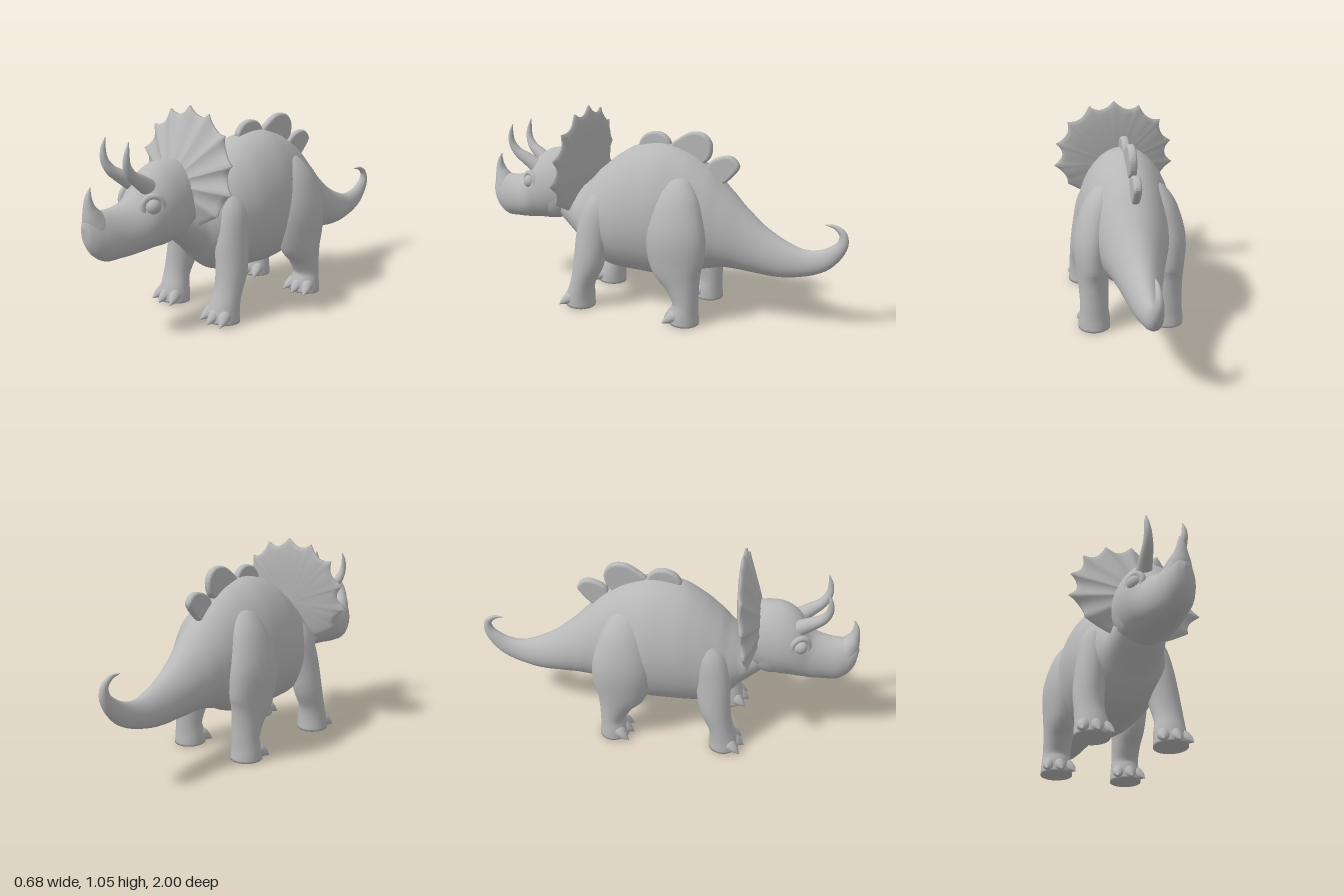
import * as THREE from 'three';

const hide = new THREE.MeshStandardMaterial({ color: 0xb8b8b8 });
hide.name = 'grey hide';
const V = (x, y, z) => new THREE.Vector3(x, y, z);

function part(name, geometry) {
  const mesh = new THREE.Mesh(geometry, hide);
  mesh.name = name;
  return mesh;
}

// Skin a list of closed rings, all with the same number of points
function skin(rings) {
  const n = rings[0].length, pos = [], idx = [];
  for (const ring of rings) for (const p of ring) pos.push(p.x, p.y, p.z);
  for (let i = 0; i < rings.length - 1; i++) {
    for (let j = 0; j < n; j++) {
      const a = i * n + j, b = i * n + (j + 1) % n;
      idx.push(a, b, a + n, b, b + n, a + n);
    }
  }
  const g = new THREE.BufferGeometry();
  g.setAttribute('position', new THREE.Float32BufferAttribute(pos, 3));
  g.setIndex(idx);
  g.computeVertexNormals();
  return g;
}

// Smooth limb through sections [x, y, z, half width, half depth].
// pear narrows the upper side; lean(z) = 0 keeps sections upright, 1 lets them follow the path
function loft(sections, { sides = 24, steps = 4, pear = 0, lean = () => 1 } = {}) {
  const path = new THREE.CatmullRomCurve3(sections.map(s => V(s[0], s[1], s[2])));
  const size = new THREE.CatmullRomCurve3(sections.map(s => V(s[3], s[4], 0)), false, 'catmullrom', 0.4);
  const rings = [], count = (sections.length - 1) * steps;
  for (let i = 0; i <= count; i++) {
    const c = path.getPoint(i / count), r = size.getPoint(i / count);
    const t = path.getTangent(i / count);
    t.y *= lean(c.z);
    t.normalize();
    const side = V(1, 0, 0).addScaledVector(t, -t.x).normalize();
    const up = t.clone().cross(side);
    const ring = [];
    for (let j = 0; j < sides; j++) {
      const a = j / sides * Math.PI * 2, s = Math.sin(a);
      ring.push(c.clone()
        .addScaledVector(side, Math.max(r.x, 0.001) * Math.cos(a) * (1 - pear * s))
        .addScaledVector(up, Math.max(r.y, 0.001) * s));
    }
    if (i === 0) rings.push(ring.map(() => c.clone()));
    rings.push(ring);
    if (i === count) rings.push(ring.map(() => c.clone()));
  }
  return skin(rings);
}

// Central parts lie on x = 0: [z, y, half width, half height]
const central = rows => rows.map(([z, y, w, h]) => [0, y, z, w, h]);

// Scalloped neck shield, domed towards the head
function frillGeometry() {
  const half = [[0, 1.04], [0.14, 1.012], [0.26, 0.927], [0.326, 0.8], [0.338, 0.67], [0.262, 0.558]];
  const halfValleys = [[0.07, 0.993], [0.19, 0.943], [0.265, 0.855], [0.291, 0.737], [0.28, 0.62], [0.17, 0.51]];
  const mirror = list => list.map(([x, y]) => [-x, y]).reverse();
  const tips = [...half, [0, 0.43], ...mirror(half.slice(1))];
  const valleys = [...halfValleys, ...mirror(halfValleys)];
  const outline = [], steps = 8;
  tips.forEach((a, i) => {
    const b = tips[(i + 1) % tips.length], v = valleys[i];
    const control = k => 2 * v[k] - (a[k] + b[k]) / 2;
    const curve = new THREE.QuadraticBezierCurve(
      new THREE.Vector2(...a), new THREE.Vector2(control(0), control(1)), new THREE.Vector2(...b));
    for (let s = 0; s < steps; s++) {
      const p = curve.getPoint(s / steps);
      outline.push([p.x, p.y, 0.005 * Math.cos(s / steps * Math.PI * 2)]);
    }
  });
  const rows = [[0, 0.085], [0.25, 0.08], [0.5, 0.058], [0.75, 0.032], [0.92, 0.013], [1, 0.005],
    [1, -0.005], [0.92, -0.014], [0.75, -0.024], [0.5, -0.032], [0.25, -0.036], [0, -0.038]];
  return skin(rows.map(([t, dz]) => outline.map(([x, y, ridge]) => {
    const py = 0.68 + (y - 0.68) * t;
    return V(x * t, py, 0.445 - 0.135 * (py - 0.57) + dz + ridge * t ** 4);
  })));
}

// Rounded plate outlined in [z, y], standing along the spine
function plateGeometry(points) {
  const curve = new THREE.CatmullRomCurve3(points.map(([z, y]) => V(-z, y, 0)), true);
  const shape = new THREE.Shape(curve.getPoints(32).slice(0, -1).map(p => new THREE.Vector2(p.x, p.y)));
  const g = new THREE.ExtrudeGeometry(shape, {
    depth: 0.012, bevelEnabled: true, bevelSize: 0.014, bevelOffset: -0.014, bevelThickness: 0.014, bevelSegments: 4,
  });
  return g.translate(0, 0, -0.006).rotateY(Math.PI / 2);
}

// Leg sections are [x, y, z, half width, half depth] for the left side
const frontLeg = [[0.09, 0.65, 0.22, 0.004, 0.004], [0.115, 0.61, 0.232, 0.05, 0.055], [0.148, 0.52, 0.258, 0.076, 0.088],
  [0.172, 0.4, 0.284, 0.076, 0.09], [0.192, 0.25, 0.303, 0.075, 0.083], [0.198, 0.14, 0.336, 0.073, 0.064],
  [0.192, 0.05, 0.356, 0.082, 0.075], [0.192, 0, 0.36, 0.084, 0.08]];
const hindLeg = [[0.09, 0.76, -0.16, 0.004, 0.004], [0.115, 0.7, -0.168, 0.062, 0.08], [0.156, 0.6, -0.178, 0.088, 0.127],
  [0.19, 0.45, -0.185, 0.094, 0.157], [0.192, 0.3, -0.198, 0.083, 0.143], [0.19, 0.2, -0.226, 0.075, 0.092],
  [0.19, 0.11, -0.245, 0.072, 0.066], [0.19, 0.045, -0.238, 0.08, 0.075], [0.19, 0, -0.236, 0.082, 0.08]];

function leg(name, sections, side) {
  const group = new THREE.Group();
  group.name = name;
  const flip = s => [s[0] * side, ...s.slice(1)];
  group.add(part(name + 'Limb', loft(sections.map(flip))));
  // Three pointed toes, the outer ones splayed
  const [fx, , fz] = sections[sections.length - 1];
  for (const k of [-1, 0, 1]) {
    const x = fx + k * 0.05, z = fz - Math.abs(k) * 0.016;
    group.add(part(name + 'Toe', loft([
      [x - k * 0.01, 0.06, z + 0.01, 0.026, 0.03], [x, 0.043, z + 0.05, 0.032, 0.034],
      [x + k * 0.012, 0.026, z + 0.077, 0.025, 0.022], [x + k * 0.024, 0.006, z + 0.105, 0.003, 0.003],
    ].map(flip), { sides: 12 })));
  }
  return group;
}

export function createModel() {
  const model = new THREE.Group();
  model.name = 'hornedDinosaur';

  // Body from curled tail tip to neck; only the tail sections follow the curl
  model.add(part('bodyAndTail', loft(central([
    [-0.885, 0.545, 0.002, 0.002], [-0.935, 0.538, 0.01, 0.011], [-0.972, 0.505, 0.016, 0.019],
    [-0.972, 0.455, 0.023, 0.028], [-0.937, 0.405, 0.03, 0.041], [-0.88, 0.362, 0.037, 0.055],
    [-0.8, 0.338, 0.047, 0.068], [-0.7, 0.34, 0.068, 0.092], [-0.6, 0.37, 0.09, 0.12], [-0.5, 0.415, 0.117, 0.157],
    [-0.4, 0.467, 0.15, 0.205], [-0.3, 0.506, 0.182, 0.265], [-0.18, 0.52, 0.215, 0.325], [-0.05, 0.528, 0.24, 0.352],
    [0.1, 0.518, 0.24, 0.338], [0.2, 0.493, 0.226, 0.308], [0.3, 0.465, 0.205, 0.255], [0.36, 0.457, 0.18, 0.2],
    [0.42, 0.468, 0.148, 0.143], [0.5, 0.51, 0.125, 0.115], [0.56, 0.54, 0.1, 0.09],
  ]), { sides: 36, pear: 0.08, lean: z => 1 - THREE.MathUtils.smoothstep(z, -0.8, -0.6) })));

  // Head
  model.add(part('head', loft(central([
    [0.42, 0.61, 0.12, 0.15], [0.5, 0.612, 0.146, 0.187], [0.6, 0.602, 0.153, 0.198], [0.68, 0.578, 0.142, 0.178],
    [0.76, 0.523, 0.115, 0.132], [0.84, 0.507, 0.094, 0.12], [0.9, 0.505, 0.083, 0.118],
    [0.95, 0.518, 0.066, 0.1], [0.985, 0.54, 0.04, 0.066], [0.998, 0.56, 0.003, 0.005],
  ]), { sides: 32, pear: 0.1, lean: () => 0 })));
  model.add(part('noseHorn', loft(central([
    [0.895, 0.47, 0.07, 0.07], [0.925, 0.55, 0.066, 0.067], [0.95, 0.605, 0.047, 0.046], [0.963, 0.65, 0.029, 0.026],
    [0.964, 0.695, 0.016, 0.014], [0.952, 0.735, 0.002, 0.002],
  ]))));
  model.add(part('neckFrill', frillGeometry()));

  for (const [label, side] of [['left', 1], ['right', -1]]) {
    model.add(part(label + 'BrowHorn', loft([
      [0.055, 0.69, 0.67, 0.04, 0.044], [0.067, 0.735, 0.735, 0.033, 0.035], [0.078, 0.775, 0.79, 0.025, 0.026],
      [0.087, 0.825, 0.818, 0.018, 0.019], [0.092, 0.88, 0.818, 0.012, 0.012], [0.09, 0.927, 0.805, 0.002, 0.002],
    ].map(s => [s[0] * side, ...s.slice(1)]), { sides: 16 })));

    // Eye with a raised lid around it
    const eye = new THREE.Group();
    eye.name = label + 'Eye';
    eye.add(part('eyeball', new THREE.SphereGeometry(0.038, 20, 14)));
    eye.add(part('eyelid', new THREE.TorusGeometry(0.046, 0.016, 10, 28)));
    eye.position.set(side * 0.106, 0.623, 0.698);
    eye.rotation.y = side * 1.1;
    model.add(eye);

    // Cheek ridge at the back of the jaw
    const cheek = part(label + 'Cheek', new THREE.SphereGeometry(1, 20, 14));
    cheek.scale.set(0.03, 0.085, 0.075);
    cheek.position.set(side * 0.113, 0.525, 0.56);
    cheek.rotation.z = side * -0.25;
    model.add(cheek);

    model.add(leg(label + 'FrontLeg', frontLeg, side), leg(label + 'HindLeg', hindLeg, side));
  }

  // Row of plates along the back
  [
    [[0.09, 0.86], [0.06, 0.912], [0, 0.933], [-0.055, 0.918], [-0.085, 0.87], [0, 0.8]],
    [[-0.085, 0.865], [-0.13, 0.91], [-0.2, 0.945], [-0.27, 0.935], [-0.305, 0.885], [-0.29, 0.81], [-0.2, 0.77]],
    [[-0.29, 0.79], [-0.34, 0.828], [-0.41, 0.835], [-0.45, 0.79], [-0.42, 0.74], [-0.36, 0.69], [-0.3, 0.7]],
  ].forEach(points => model.add(part('backPlate', plateGeometry(points))));

  return model;
}
